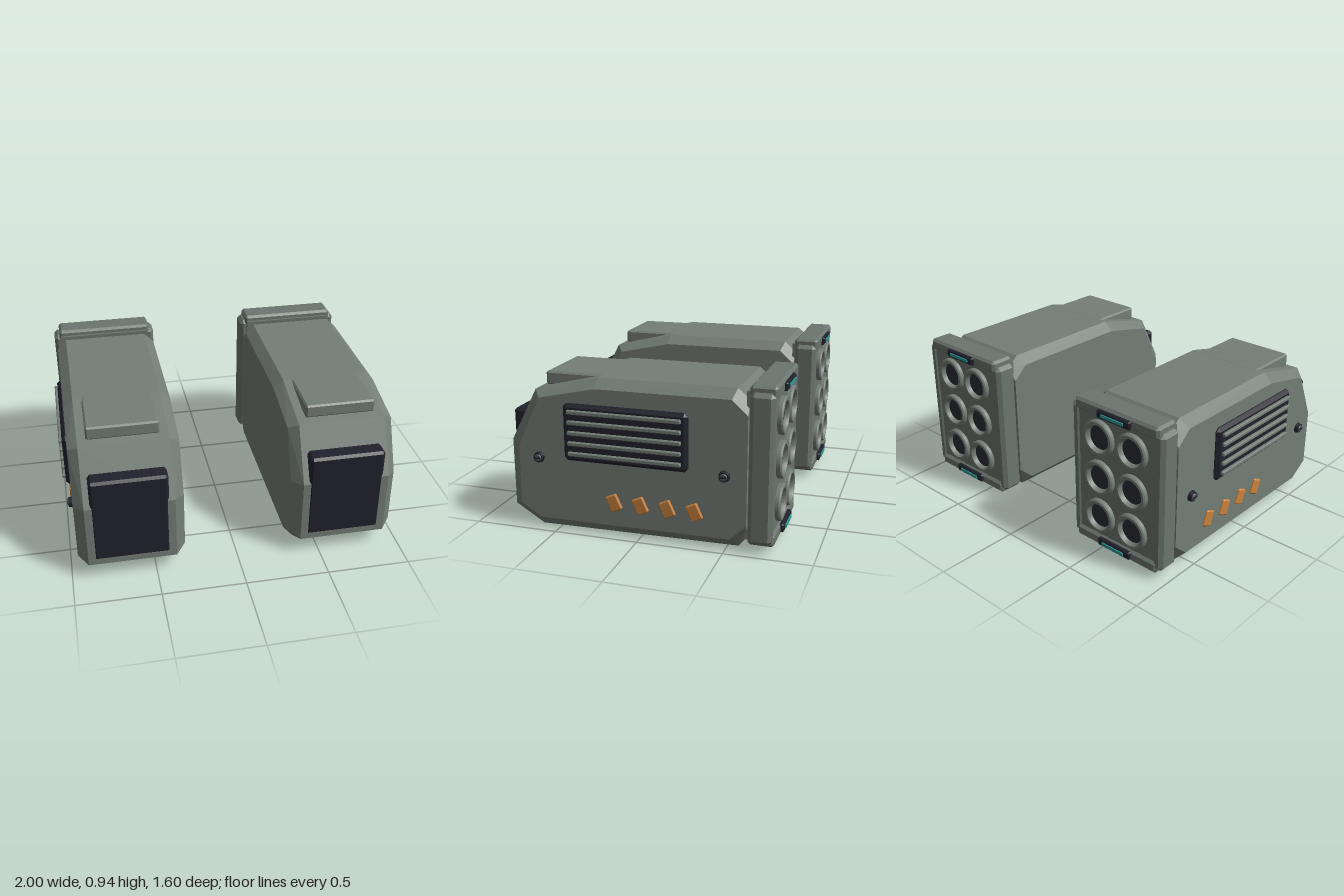
import * as THREE from 'three';
import { ConvexGeometry } from 'three/addons/geometries/ConvexGeometry.js';
import { toCreasedNormals } from 'three/addons/utils/BufferGeometryUtils.js';

const mat = (name, color) => {
  const m = new THREE.MeshStandardMaterial({ color });
  m.name = name;
  return m;
};

// Box with all edges chamfered by c
function chamferBox(w, h, d, c) {
  const pts = [];
  for (const x of [-1, 1]) for (const y of [-1, 1]) for (const z of [-1, 1]) {
    const [a, b, e] = [w / 2, h / 2, d / 2];
    pts.push(new THREE.Vector3(x * a, y * (b - c), z * (e - c)));
    pts.push(new THREE.Vector3(x * (a - c), y * b, z * (e - c)));
    pts.push(new THREE.Vector3(x * (a - c), y * (b - c), z * e));
  }
  return new ConvexGeometry(pts);
}

// Side profiles of the housing as [z, y]: full outline and the inset side face
const OUTLINE = [[0.795, 0.107], [0.795, 0.507], [0.633, 0.82], [0.25, 0.914], [-0.55, 0.914],
  [-0.62, 0.853], [-0.62, 0.075], [-0.565, 0.012], [0.62, 0.0]];
const SIDE_FACE = [[0.73, 0.138], [0.727, 0.49], [0.59, 0.785], [0.25, 0.86], [-0.53, 0.862],
  [-0.62, 0.78], [-0.62, 0.155], [-0.525, 0.068], [0.605, 0.062]];

function housingGeometry() {
  const pts = [];
  for (const s of [-1, 1]) {
    for (const [z, y] of OUTLINE) pts.push(new THREE.Vector3(s * 0.26, y, z));
    for (const [z, y] of SIDE_FACE) pts.push(new THREE.Vector3(s * 0.318, y, z));
  }
  return new ConvexGeometry(pts);
}

export function createModel() {
  const hull = mat('hull grey green', 0x747d76);
  const frame = mat('frame grey', 0x6c756f);
  const dark = mat('dark panel', 0x21212c);
  const bore = mat('tube bore', 0x2b2c35);
  const steel = mat('screw steel', 0x50565a);
  const orange = mat('orange marker', 0xc8823c);
  const teal = mat('teal light', 0x2f9c98);

  const housing = housingGeometry();
  const rim = toCreasedNormals(new THREE.LatheGeometry(
    [[0.107, 0], [0.107, 0.022], [0.1, 0.03], [0.084, 0.03], [0.072, 0.006], [0.072, -0.01]]
      .map(([r, y]) => new THREE.Vector2(r, y)), 32), 0.5);
  const boreDisc = new THREE.CylinderGeometry(0.073, 0.073, 0.006, 32);
  const screwRing = new THREE.CylinderGeometry(0.028, 0.033, 0.024, 20);
  const screwHead = new THREE.CylinderGeometry(0.018, 0.023, 0.008, 20);

  // One pod; s is the outward direction along x
  function pod(s) {
    const g = new THREE.Group();
    g.name = s > 0 ? 'leftPod' : 'rightPod';
    g.position.x = s * 0.638;
    const add = (name, geo, material, x, y, z) => {
      const m = new THREE.Mesh(geo, material);
      m.name = name;
      m.position.set(x * s, y, z);
      g.add(m);
      return m;
    };

    // Housing, front shield and raised roof block
    add('housing', housing, hull, 0, 0, 0);
    add('frontShield', chamferBox(0.45, 0.545, 0.2, 0.015), dark, 0, 0.41, 0.7);
    add('roofBlock', chamferBox(0.42, 0.08, 0.36, 0.01), hull, 0, 0.875, 0.41);

    // Rear frame: core, side posts, top and bottom caps
    add('rearPanel', new THREE.BoxGeometry(0.58, 0.84, 0.15), frame, 0, 0.49, -0.68);
    for (const e of [-1, 1]) {
      add('sidePost', chamferBox(0.07, 0.85, 0.135, 0.022), frame, e * 0.298, 0.483, -0.696);
      const capY = 0.4925 + e * 0.416;
      add('endCap', chamferBox(0.6, 0.072, 0.15, 0.015), frame, 0, capY, -0.696);
      // Light bars on the caps
      const lightY = 0.4925 + e * 0.41;
      add('lightHousing', chamferBox(0.24, 0.05, 0.03, 0.008), dark, 0, lightY, -0.775);
      add('lightStrip', new THREE.BoxGeometry(0.16, 0.018, 0.009), teal, 0, lightY, -0.7925);
    }

    // Six tubes in two columns
    for (const x of [-0.119, 0.119]) for (const y of [0.243, 0.494, 0.745]) {
      add('tubeRim', rim, hull, x, y, -0.755).rotation.x = -Math.PI / 2;
      add('tubeBore', boreDisc, bore, x, y, -0.756).rotation.x = -Math.PI / 2;
    }

    // Side vent with five slats
    add('ventPanel', chamferBox(0.05, 0.335, 0.73, 0.02), dark, 0.319, 0.602, 0.073);
    for (let i = 0; i < 5; i++) {
      add('ventSlat', chamferBox(0.026, 0.024, 0.665, 0.005), hull, 0.349, 0.482 + i * 0.061, 0.073);
    }

    // Slotted screws
    for (const z of [0.6, -0.495]) {
      add('screwRing', screwRing, dark, 0.328, 0.434, z).rotation.z = -s * Math.PI / 2;
      add('screwHead', screwHead, steel, 0.342, 0.434, z).rotation.z = -s * Math.PI / 2;
      add('screwSlot', new THREE.BoxGeometry(0.004, 0.009, 0.036), dark, 0.346, 0.434, z);
    }

    // Slanted orange markers
    for (let i = 0; i < 4; i++) {
      const m = add('marker', chamferBox(0.03, 0.096, 0.072, 0.007), orange, 0.317, 0.205, 0.147 - i * 0.158);
      m.rotation.x = 0.43;
    }
    return g;
  }

  const model = new THREE.Group();
  model.name = 'twinPods';
  model.add(pod(1), pod(-1));
  return model;
}
